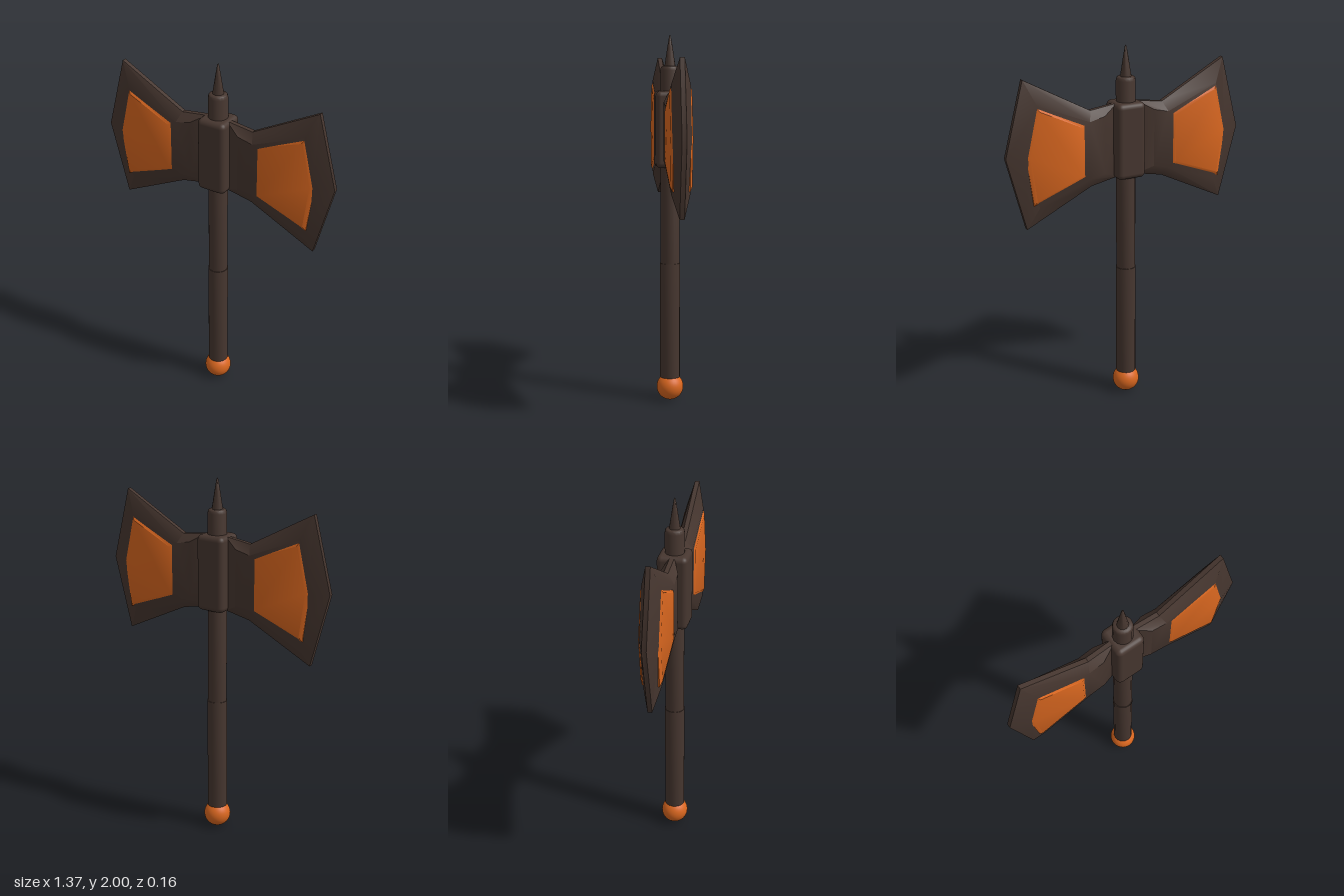
import * as THREE from 'three';
import { toCreasedNormals } from 'three/addons/utils/BufferGeometryUtils.js';
import { RoundedBoxGeometry } from 'three/addons/geometries/RoundedBoxGeometry.js';

// Solid symmetric in z: a raised inner face bevelled down to an outer outline.
// Both outlines run counter-clockwise with the same number of points.
function bevelledPlate(outer, zOuter, inner, zInner) {
  const n = outer.length;
  const rings = [[inner, zInner], [outer, zOuter], [outer, -zOuter], [inner, -zInner]];
  const pos = [];
  for (const [pts, z] of rings) for (const [x, y] of pts) pos.push(x, y, z);
  const index = [];
  for (let r = 0; r < 3; r++) {
    for (let i = 0; i < n; i++) {
      const j = (i + 1) % n;
      const a = r * n + i, d = r * n + j, b = a + n, c = d + n;
      index.push(a, b, c, a, c, d);
    }
  }
  const caps = THREE.ShapeUtils.triangulateShape(inner.map(([x, y]) => new THREE.Vector2(x, y)), []);
  for (const [a, b, c] of caps) index.push(a, b, c, 3 * n + a, 3 * n + c, 3 * n + b);
  const geo = new THREE.BufferGeometry();
  geo.setAttribute('position', new THREE.Float32BufferAttribute(pos, 3));
  geo.setIndex(index);
  return toCreasedNormals(geo, 0.6);
}

export function createModel() {
  const dark = new THREE.MeshStandardMaterial({ color: 0x46362f });
  dark.name = 'dark iron';
  const orange = new THREE.MeshStandardMaterial({ color: 0xd8661f });
  orange.name = 'orange';

  const model = new THREE.Group();
  model.name = 'doubleAxe';
  const add = (name, geo, mat, y = 0, parent = model) => {
    const mesh = new THREE.Mesh(geo, mat);
    mesh.name = name;
    mesh.position.y = y;
    parent.add(mesh);
    return mesh;
  };
  const lathe = (pts, sides) => toCreasedNormals(
    new THREE.LatheGeometry(pts.map(([r, y]) => new THREE.Vector2(r, y)), sides), 0.7);

  // Handle with a slightly thicker grip, and a round pommel
  add('pommel', new THREE.SphereGeometry(0.074, 32, 20), orange, 0.074);
  add('grip', lathe([[0, 0.13], [0.055, 0.13], [0.055, 0.77], [0, 0.77]], 16), dark);
  add('shaft', lathe([[0, 0.7], [0.052, 0.7], [0.052, 1.815], [0.048, 1.83], [0.04, 1.836], [0, 1.836]], 16), dark);

  // Hub and top spike
  add('hub', new RoundedBoxGeometry(0.164, 0.41, 0.164, 3, 0.028), dark, 1.5);
  add('spike', lathe([[0.031, 1.825], [0.015, 1.93], [0.005, 1.99], [0, 2]], 12), dark);

  // Blade and its inlaid panel, shown on both faces
  const bladeEdge = [[0.06, 1.3], [0.21, 1.27], [0.58, 1.09], [0.683, 1.485], [0.58, 1.88], [0.21, 1.68], [0.06, 1.7]];
  const bladeFace = [[0.145, 1.34], [0.23, 1.32], [0.52, 1.21], [0.58, 1.485], [0.52, 1.75], [0.23, 1.63], [0.145, 1.65]];
  const panelEdge = [[0.255, 1.335], [0.55, 1.225], [0.585, 1.485], [0.525, 1.745], [0.255, 1.62]];
  const panelFace = [[0.275, 1.35], [0.535, 1.25], [0.565, 1.485], [0.51, 1.72], [0.275, 1.607]];
  const bladeGeo = bevelledPlate(bladeEdge, 0.012, bladeFace, 0.048);
  const panelGeo = bevelledPlate(panelEdge, 0.044, panelFace, 0.056);
  for (const [side, turn] of [['left', 0], ['right', Math.PI]]) {
    const half = new THREE.Group();
    half.name = side + 'AxeHead';
    half.rotation.y = turn;
    add(side + 'Blade', bladeGeo, dark, 0, half);
    add(side + 'Panel', panelGeo, orange, 0, half);
    model.add(half);
  }
  return model;
}
